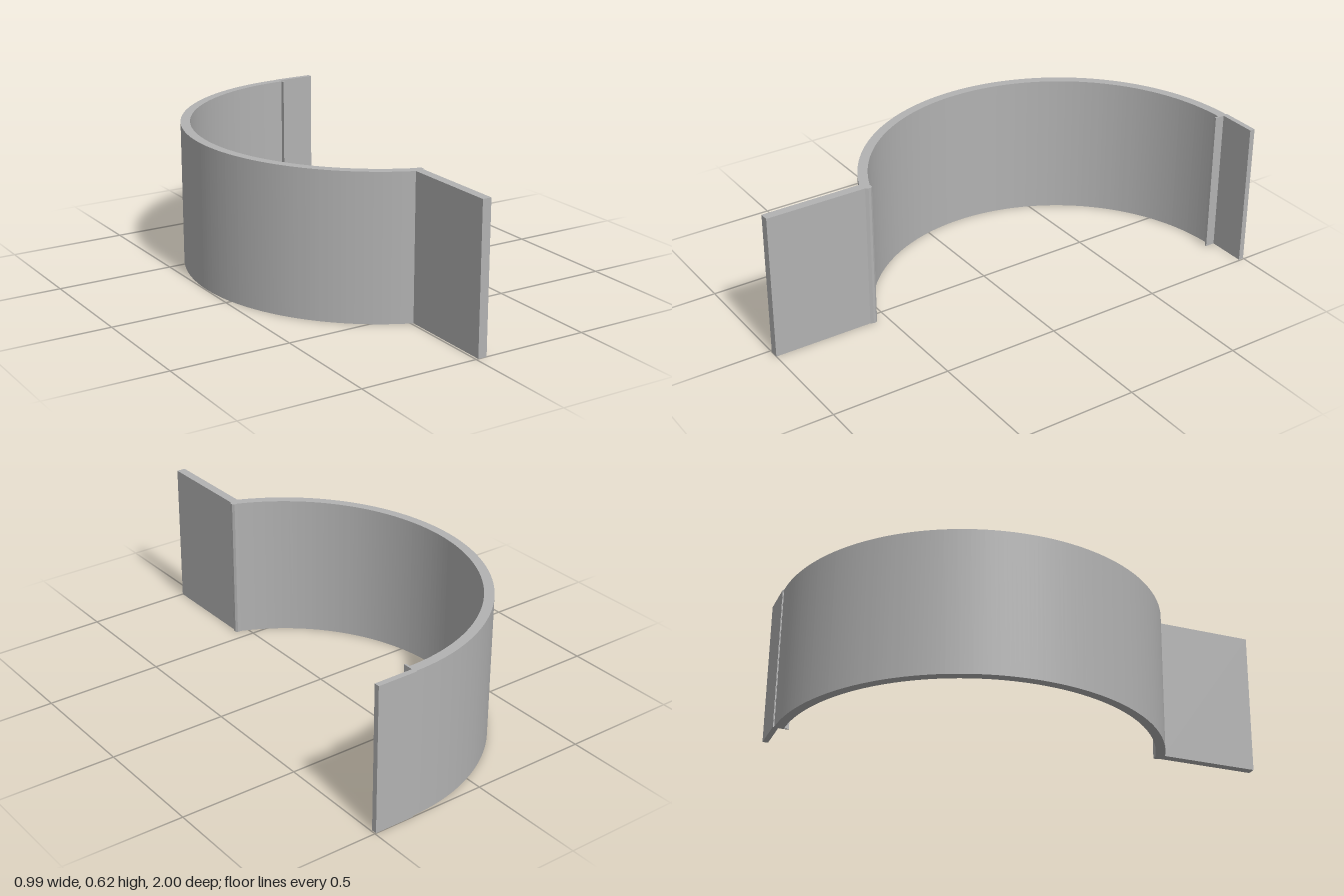
import * as THREE from 'three';

const HEIGHT = 0.615;
const CX = 0.325, CZ = -0.175; // centre of the curved wall
const R_OUT = 0.82, R_IN = 0.78;

export function createModel() {
  const group = new THREE.Group();
  group.name = 'curvedClip';
  const grey = new THREE.MeshStandardMaterial({ color: 0xb2b2b2 });
  grey.name = 'plain grey';

  // Extrudes a plan outline, drawn as (x, -z), up from the ground
  const addPlan = (name, shape) => {
    const geo = new THREE.ExtrudeGeometry(shape, { depth: HEIGHT, bevelEnabled: false, curveSegments: 64 });
    geo.rotateX(-Math.PI / 2);
    const mesh = new THREE.Mesh(geo, grey);
    mesh.name = name;
    group.add(mesh);
  };

  // Upright plate spanning a rectangle in plan
  const addPlate = (name, x0, x1, z0, z1) => {
    const mesh = new THREE.Mesh(new THREE.BoxGeometry(x1 - x0, HEIGHT, z1 - z0), grey);
    mesh.position.set((x0 + x1) / 2, HEIGHT / 2, (z0 + z1) / 2);
    mesh.name = name;
    group.add(mesh);
  };

  // Curved wall, with a small rounded nose where it meets the front plate
  const rad = THREE.MathUtils.degToRad;
  const wall = new THREE.Shape();
  wall.absarc(CX, -CZ, R_OUT, rad(90), rad(247.4), false);
  wall.lineTo(0.048, -0.578);
  wall.lineTo(0.055, -0.566);
  wall.lineTo(0.055, -0.556);
  wall.lineTo(0.048, -0.547);
  wall.absarc(CX, -CZ, R_IN, rad(248), rad(90), true);
  wall.closePath();
  addPlan('curvedWall', wall);

  addPlate('frontPlate', 0.01, 0.048, 0.577, 1);
  addPlate('backFlange', 0.325, 0.495, -1, -0.977);
  addPlate('backLip', 0.322, 0.33, -0.998, -0.935);

  return group;
}
